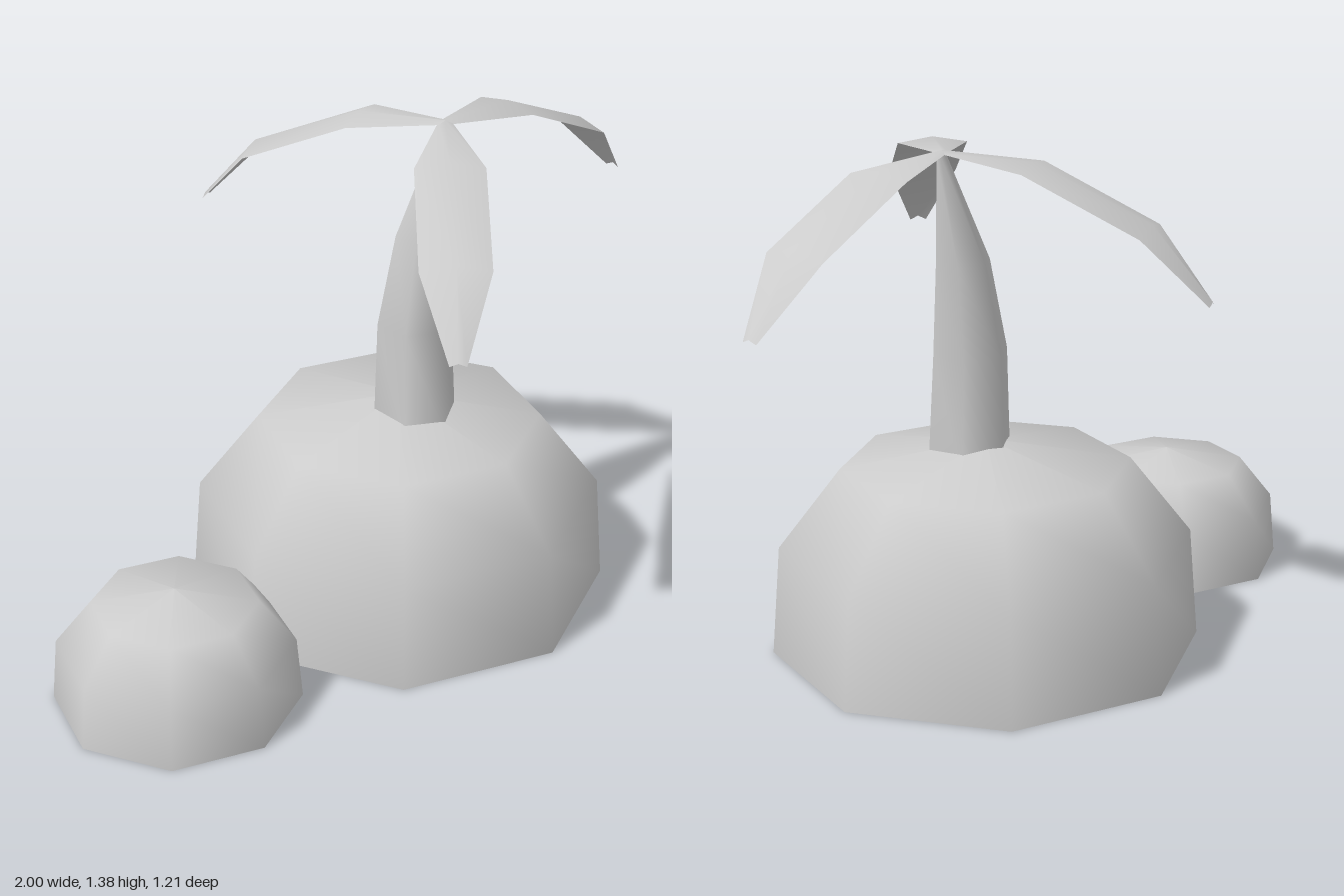
import * as THREE from 'three';

const grey = new THREE.MeshStandardMaterial({ color: 0xcccccc });
const greyThin = new THREE.MeshStandardMaterial({ color: 0xcccccc, side: THREE.DoubleSide });

function part(name, geometry, material = grey) {
  const mesh = new THREE.Mesh(geometry, material);
  mesh.name = name;
  return mesh;
}

// Smooth skin over rows of [x, y, z] points; closed joins each row into a ring
function loft(rows, closed) {
  const n = rows[0].length;
  const index = [];
  for (let r = 0; r < rows.length - 1; r++) {
    for (let i = 0; i < (closed ? n : n - 1); i++) {
      const a = r * n + i, b = r * n + (i + 1) % n;
      index.push(a, b, a + n, b, b + n, a + n);
    }
  }
  const geometry = new THREE.BufferGeometry();
  geometry.setAttribute('position', new THREE.Float32BufferAttribute(rows.flat(2), 3));
  geometry.setIndex(index);
  geometry.computeVertexNormals();
  return geometry;
}

// Eight-sided dome with a flat underside
function createDome(name, x, z, profile) {
  const dome = new THREE.Group();
  dome.name = name;
  const points = profile.map(([r, y]) => new THREE.Vector2(r, y));
  const base = part('underside', new THREE.CircleGeometry(profile[0][0], 8).rotateX(Math.PI / 2));
  dome.add(part('shell', new THREE.LatheGeometry(points, 8)), base);
  dome.position.set(x, 0, z);
  return dome;
}

// Leaning six-sided trunk tapering to a point
function createTrunk() {
  const sections = [ // x, y, z, radius
    [0.18, 0.5, 0.073, 0.117],
    [0.185, 0.82, 0.063, 0.104],
    [0.21, 1.07, 0.065, 0.075],
    [0.282, 1.36, 0.073, 0.014],
    [0.284, 1.372, 0.074, 0.001],
  ];
  const rows = sections.map(([x, y, z, r]) =>
    Array.from({ length: 6 }, (_, i) => {
      const a = (i / 6) * Math.PI * 2;
      return [x + r * Math.sin(a), y, z + r * Math.cos(a)];
    }));
  return part('trunk', loft(rows, true));
}

// Drooping leaf along +x with a shallow ridge down its middle
function leafGeometry() {
  const stations = [ // distance, ridge height, half width, ridge rise
    [0, 1.375, 0.018, 0.006],
    [0.25, 1.36, 0.092, 0.015],
    [0.56, 1.222, 0.092, 0.02],
    [0.72, 1.035, 0.022, 0.01],
  ];
  return loft(stations.map(([x, y, w, rise]) => [
    [x - rise * 0.3, y - rise, -w],
    [x, y, 0],
    [x - rise * 0.3, y - rise, w],
  ]), false);
}

export function createModel() {
  const model = new THREE.Group();
  model.name = 'palmIsland';

  model.add(createDome('largeIsland', 0.175, 0.02,
    [[0.58, 0], [0.557, 0.3], [0.39, 0.515], [0, 0.585]]));
  model.add(createDome('smallIsland', -0.67, 0.02,
    [[0.33, 0], [0.315, 0.175], [0.22, 0.296], [0, 0.336]]));
  model.add(createTrunk());

  // Three leaves spread around the trunk tip
  const leaf = leafGeometry();
  const leaves = new THREE.Group();
  leaves.name = 'leaves';
  leaves.position.set(0.28, 0, 0.075);
  [0, 134.5, 250.5].forEach((degrees) => {
    const mesh = part('leaf', leaf, greyThin);
    mesh.rotation.y = -THREE.MathUtils.degToRad(degrees);
    leaves.add(mesh);
  });
  model.add(leaves);

  return model;
}
